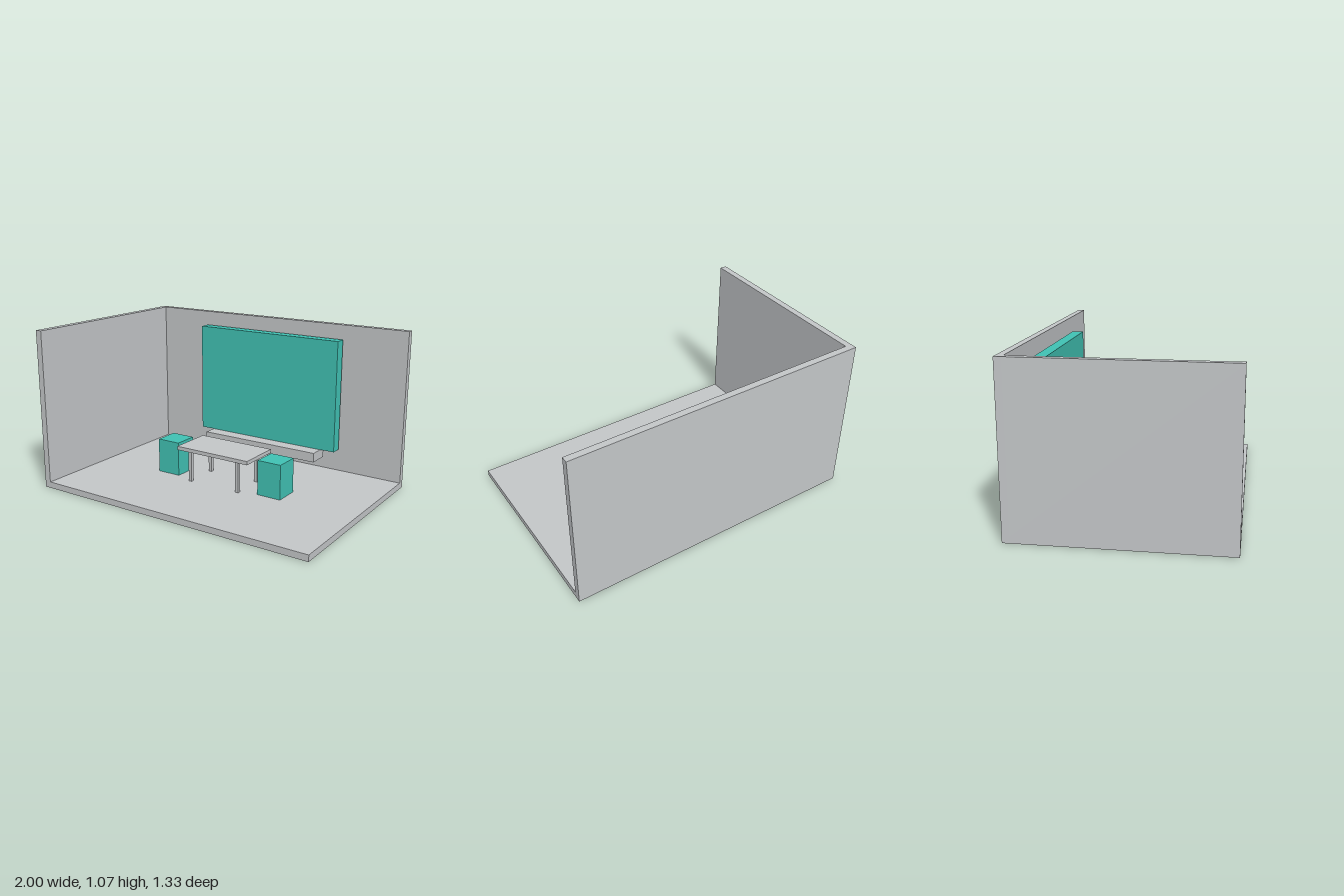
import * as THREE from 'three';

export function createModel() {
  const group = new THREE.Group();
  const gray = new THREE.MeshStandardMaterial({ color: 0xc3c6c8 });
  gray.name = 'light gray';
  const teal = new THREE.MeshStandardMaterial({ color: 0x40c1b3 });
  teal.name = 'teal';

  // Box given by its minimum and maximum corners
  function box(name, material, [x0, y0, z0], [x1, y1, z1]) {
    const mesh = new THREE.Mesh(new THREE.BoxGeometry(x1 - x0, y1 - y0, z1 - z0), material);
    mesh.position.set((x0 + x1) / 2, (y0 + y1) / 2, (z0 + z1) / 2);
    mesh.name = name;
    group.add(mesh);
  }

  // Room shell: floor and two walls meeting in a corner
  const floorY = 0.042, depth = 0.667, height = 1.067;
  box('floor', gray, [-1, 0, -depth], [1, floorY, depth]);
  box('backWall', gray, [-1, floorY, -depth], [1, height, -0.623]);
  box('sideWall', gray, [-1, floorY, -0.623], [-0.956, height, depth]);

  // Wall screen with the shelf below it
  box('screen', teal, [-0.55, 0.2, -0.605], [0.55, 0.97, -0.53]);
  box('shelf', gray, [-0.447, 0.135, -0.58], [0.447, 0.2, -0.434]);

  // Table
  box('tableTop', gray, [-0.276, 0.253, -0.148], [0.276, 0.278, 0.148]);
  const half = 0.0115;
  for (const sx of [-1, 1]) {
    for (const sz of [-1, 1]) {
      const x = sx * 0.186, z = sz * 0.117;
      box('tableLeg', gray, [x - half, floorY, z - half], [x + half, 0.253, z + half]);
    }
    // Block stool at each end of the table
    const x = sx * 0.4;
    box('stool', teal, [x - 0.084, floorY, -0.084], [x + 0.084, 0.275, 0.084]);
  }

  return group;
}
